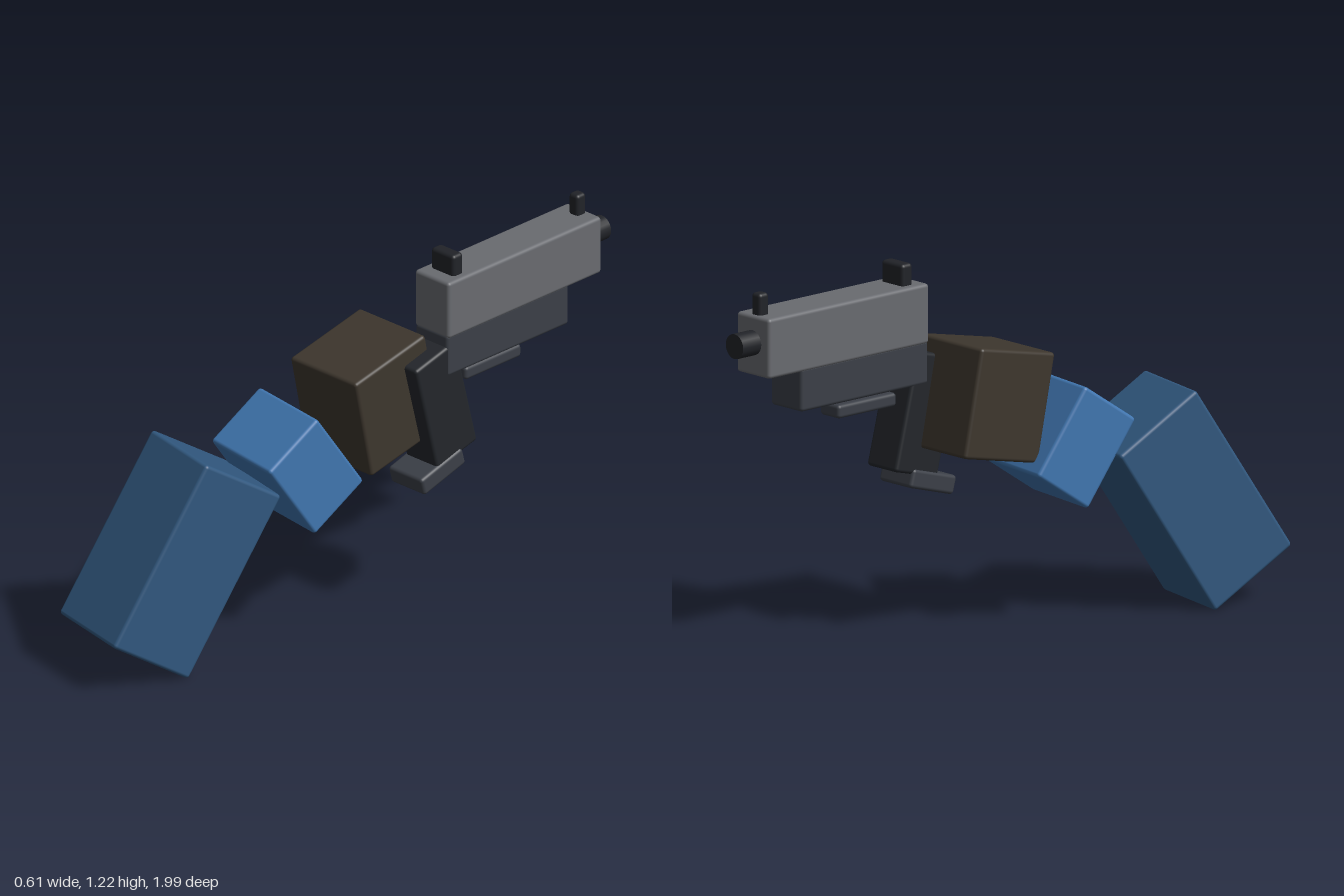
import * as THREE from 'three';
import { RoundedBoxGeometry } from 'three/addons/geometries/RoundedBoxGeometry.js';

const COLORS = {
  sleeve: 0x31587f, forearm: 0x4076b0, glove: 0x3d362d,
  slide: 0x696b70, frame: 0x3b3f47, grip: 0x23262b, dark: 0x212328,
};
const GUN_X = 0.233;

function material(color) {
  return new THREE.MeshStandardMaterial({ color });
}

// Softly bevelled block; pitch lifts its far (-z) end, yaw is applied after pitch
function block(name, color, size, position, pitch = 0, yaw = 0) {
  const radius = Math.min(0.012, Math.min(...size) * 0.3);
  const mesh = new THREE.Mesh(new RoundedBoxGeometry(...size, 3, radius), material(color));
  mesh.name = name;
  mesh.position.set(...position);
  mesh.rotation.set(THREE.MathUtils.degToRad(pitch), THREE.MathUtils.degToRad(yaw), 0, 'YXZ');
  return mesh;
}

function createArm() {
  const arm = new THREE.Group();
  arm.name = 'arm';
  arm.add(
    block('upperArm', COLORS.sleeve, [0.325, 0.34, 0.66], [-0.08, 0.373, 0.653], 57.3, -12.3),
    block('forearm', COLORS.forearm, [0.31, 0.33, 0.238], [0.03, 0.597, 0.23], 34.4, -8.4),
    block('hand', COLORS.glove, [0.295, 0.36, 0.328], [0.102, 0.765, -0.055], 12),
  );
  return arm;
}

function createPistol() {
  const pistol = new THREE.Group();
  pistol.name = 'pistol';
  pistol.position.x = GUN_X;
  pistol.add(
    block('slide', COLORS.slide, [0.154, 0.198, 0.7], [0, 1.062, -0.571]),
    block('frame', COLORS.frame, [0.145, 0.145, 0.555], [0, 0.902, -0.498]),
    block('triggerGuard', COLORS.frame, [0.09, 0.045, 0.255], [0, 0.792, -0.46]),
    block('grip', COLORS.grip, [0.14, 0.395, 0.19], [0, 0.728, -0.22], 14.5),
    block('magazineBase', COLORS.frame, [0.152, 0.063, 0.197], [0, 0.503, -0.2], 16),
    block('rearSight', COLORS.dark, [0.102, 0.08, 0.046], [0, 1.192, -0.292]),
    block('frontSight', COLORS.dark, [0.042, 0.08, 0.042], [0, 1.192, -0.888]),
  );

  // Muzzle end of the barrel
  const barrel = new THREE.Mesh(new THREE.CylinderGeometry(0.041, 0.041, 0.14, 20), material(COLORS.dark));
  barrel.name = 'barrel';
  barrel.rotation.x = Math.PI / 2;
  barrel.position.set(0, 1.072, -0.93);
  pistol.add(barrel);
  return pistol;
}

export function createModel() {
  const model = new THREE.Group();
  model.name = 'armHoldingPistol';
  model.add(createArm(), createPistol());
  return model;
}
